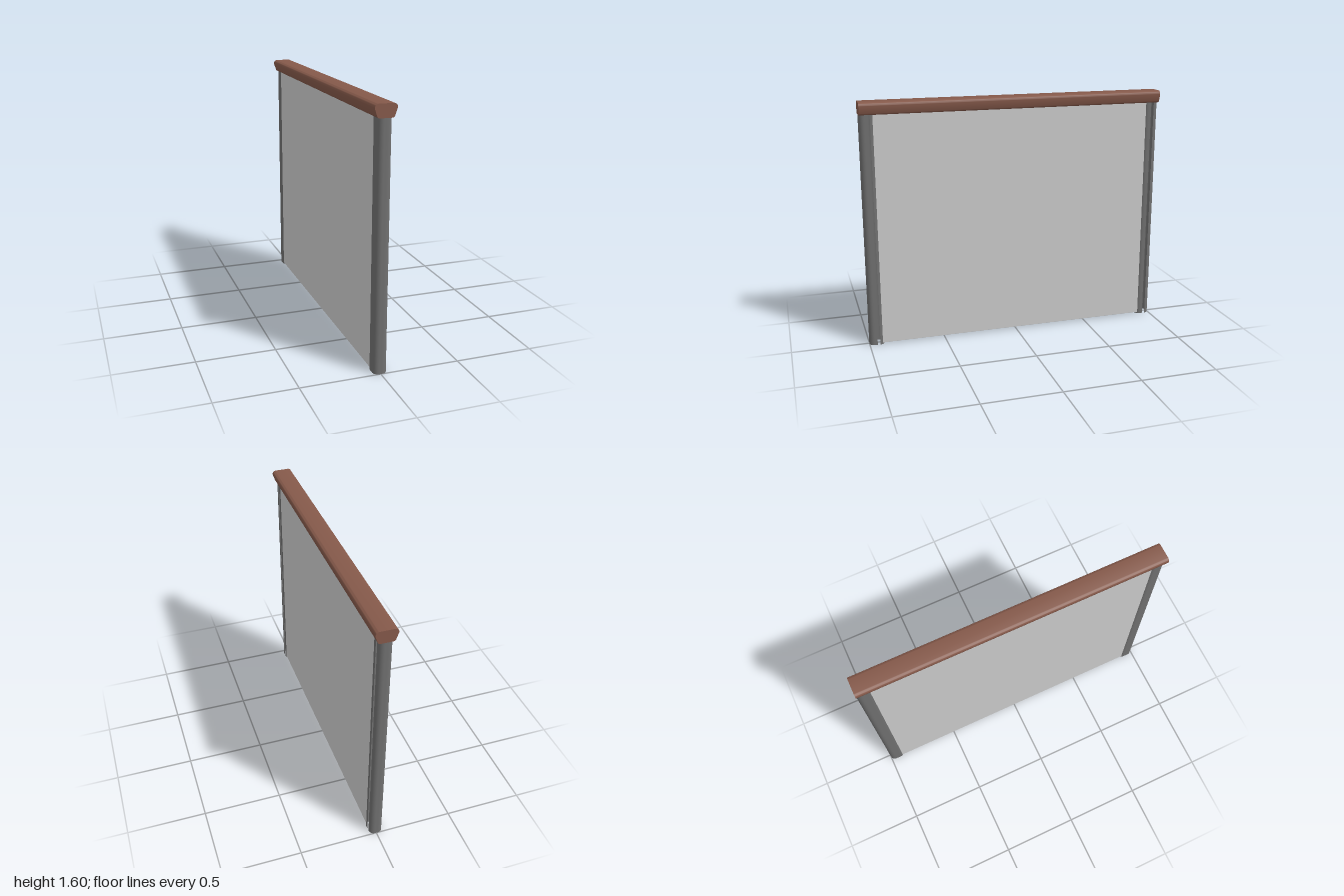
import * as THREE from 'three';
import { toCreasedNormals } from 'three/addons/utils/BufferGeometryUtils.js';

const HALF_LENGTH = 1;
const POST_TOP = 1.53;

// Open-ended upright tube with a rounded rectangular section (half sizes a, b)
function roundedTube(a, b, r, height) {
  const section = new THREE.Path();
  section.moveTo(a, 0);
  section.absarc(a - r, b - r, r, 0, Math.PI / 2);
  section.absarc(r - a, b - r, r, Math.PI / 2, Math.PI);
  section.absarc(r - a, r - b, r, Math.PI, Math.PI * 1.5);
  section.absarc(a - r, r - b, r, Math.PI * 1.5, Math.PI * 2);
  section.lineTo(a, 0);
  const n = 48;
  const ring = section.getSpacedPoints(n);
  const geometry = new THREE.PlaneGeometry(1, height, n, 1);
  const pos = geometry.attributes.position;
  for (let i = 0; i < pos.count; i++) {
    const p = ring[i % (n + 1)];
    pos.setXYZ(i, p.x, pos.getY(i) + height / 2, -p.y);
  }
  geometry.computeVertexNormals();
  return geometry;
}

// Handrail: flat top, rounded shoulders, sides tapering to a narrower base
function handrailGeometry() {
  const s = new THREE.Shape();
  s.moveTo(-0.04, 1.52);
  s.lineTo(0.04, 1.52);
  s.quadraticCurveTo(0.049, 1.522, 0.052, 1.531);
  s.lineTo(0.066, 1.572);
  s.quadraticCurveTo(0.069, 1.596, 0.046, 1.6);
  s.lineTo(-0.046, 1.6);
  s.quadraticCurveTo(-0.069, 1.596, -0.066, 1.572);
  s.lineTo(-0.052, 1.531);
  s.quadraticCurveTo(-0.049, 1.522, -0.04, 1.52);
  const geometry = new THREE.ExtrudeGeometry(s, {
    depth: HALF_LENGTH * 2, bevelEnabled: false, curveSegments: 8,
  });
  geometry.translate(0, 0, -HALF_LENGTH);
  return toCreasedNormals(geometry, 0.6);
}

export function createModel() {
  const group = new THREE.Group();
  const wood = new THREE.MeshStandardMaterial({ color: 0x85594a });
  const metal = new THREE.MeshStandardMaterial({ color: 0x707070, side: THREE.DoubleSide });
  const pane = new THREE.MeshStandardMaterial({ color: 0xcccccc, side: THREE.DoubleSide });

  const add = (name, geometry, material) => {
    const mesh = new THREE.Mesh(geometry, material);
    mesh.name = name;
    group.add(mesh);
    return mesh;
  };

  add('handrail', handrailGeometry(), wood);

  // Hollow posts at both ends
  const postGeometry = roundedTube(0.042, 0.05, 0.032, POST_TOP);
  for (const side of [1, -1]) {
    const post = add(side > 0 ? 'frontPost' : 'backPost', postGeometry, metal);
    post.position.z = side * (HALF_LENGTH - 0.05);
  }

  // Two thin sheets between the posts, one on each face
  const bottom = 0.01;
  const sheet = new THREE.PlaneGeometry(1.83, POST_TOP - bottom);
  for (const side of [1, -1]) {
    const panel = add(side > 0 ? 'leftPanel' : 'rightPanel', sheet, pane);
    panel.rotation.y = side * Math.PI / 2;
    panel.position.set(side * 0.037, (POST_TOP + bottom) / 2, 0);
  }

  return group;
}
